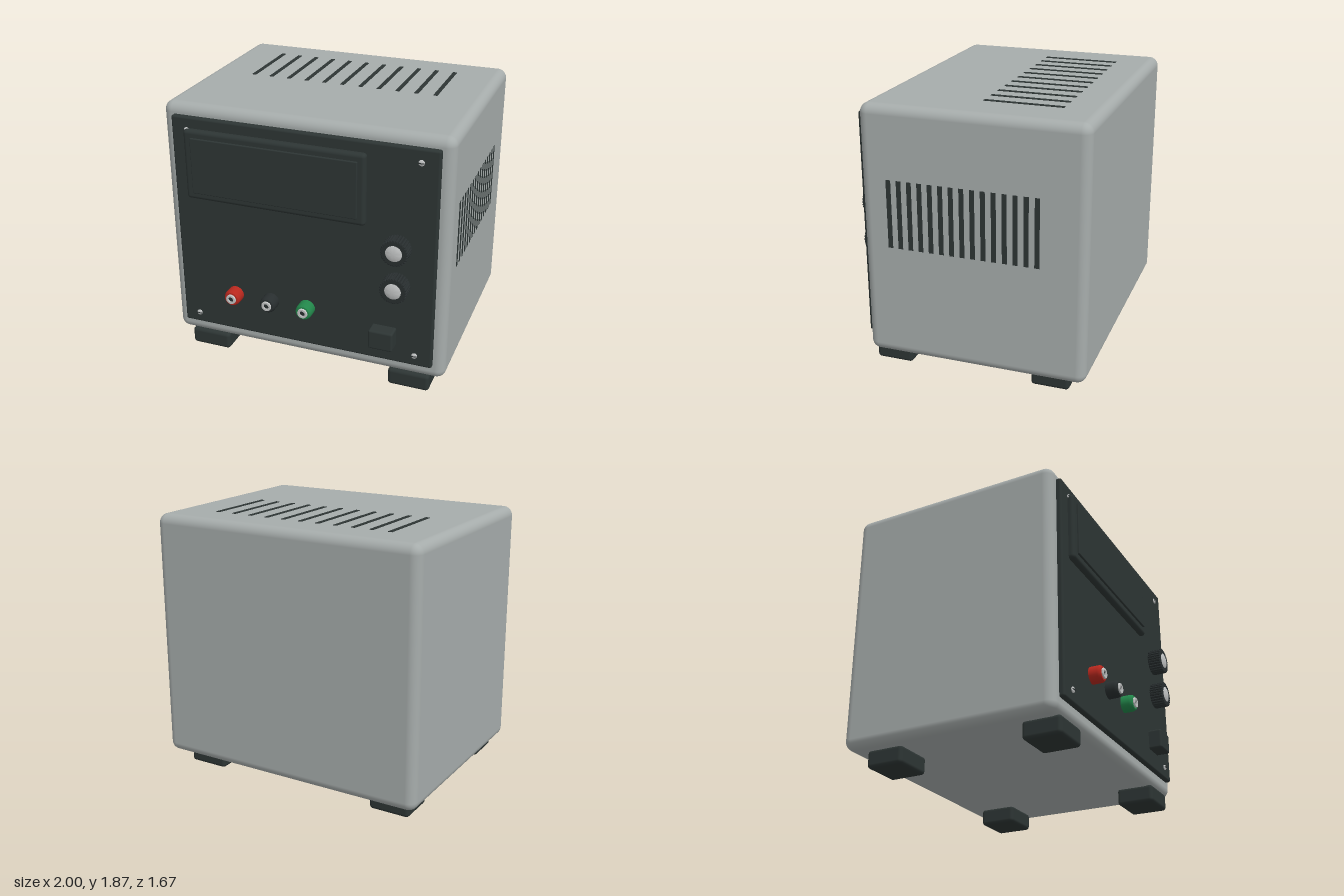
import * as THREE from 'three';
import { toCreasedNormals } from 'three/addons/utils/BufferGeometryUtils.js';
import { RoundedBoxGeometry } from 'three/addons/geometries/RoundedBoxGeometry.js';

const paint = (name, color) => {
  const m = new THREE.MeshStandardMaterial({ color });
  m.name = name;
  return m;
};

export function createModel() {
  const model = new THREE.Group();
  model.name = 'benchPowerSupply';
  const grey = paint('case grey', 0xa6acab);
  const dark = paint('panel charcoal', 0x2d3534);
  const black = paint('knob black', 0x282e2f);
  const metal = paint('metal', 0xc4c6c6);
  const red = paint('terminal red', 0xb8281e);
  const green = paint('terminal green', 0x22864a);

  const add = (name, geometry, material, x = 0, y = 0, z = 0, parent = model) => {
    const mesh = new THREE.Mesh(geometry, material);
    mesh.name = name;
    mesh.position.set(x, y, z);
    parent.add(mesh);
    return mesh;
  };
  // Rounded box given by its limits on each axis
  const block = (name, material, [x0, x1], [y0, y1], [z0, z1], r, seg = 4) =>
    add(name, new RoundedBoxGeometry(x1 - x0, y1 - y0, z1 - z0, seg, r), material,
      (x0 + x1) / 2, (y0 + y1) / 2, (z0 + z1) / 2);
  // Turned part whose axis points forward; profile is [radius, depth] pairs
  const turned = (profile, sides = 32) => toCreasedNormals(
    new THREE.LatheGeometry(profile.map(p => new THREE.Vector2(...p)), sides).rotateX(Math.PI / 2), 0.6);

  // Case, front panel and display
  block('case', grey, [-1, 1], [0.115, 1.865], [-0.83, 0.70], 0.065, 6);
  block('frontPanel', dark, [-0.92, 0.92], [0.22, 1.79], [0.67, 0.735], 0.015);
  block('displayBezel', dark, [-0.82, 0.45], [1.22, 1.715], [0.71, 0.775], 0.025);
  block('displayScreen', dark, [-0.765, 0.40], [1.27, 1.665], [0.75, 0.788], 0.006, 2);

  // Feet
  for (const x of [-0.75, 0.75]) for (const z of [-0.565, 0.565])
    block('foot', dark, [x - 0.147, x + 0.147], [0, 0.125], [z - 0.133, z + 0.133], 0.025);

  // Vent slots on the top and on the left side
  const topSlot = new THREE.BoxGeometry(0.028, 0.009, 0.535);
  for (let i = -5; i <= 5; i++) add('topVent', topSlot, dark, i * 0.1335, 1.8645, -0.302);
  const sideSlot = new THREE.BoxGeometry(0.009, 0.47, 0.033);
  for (let i = -7; i <= 7; i++) add('sideVent', sideSlot, dark, 0.997, 1.14, i * 0.0718);

  // Fluted knobs with domed metal caps
  const outline = [];
  const ribs = 28;
  for (let i = 0; i < ribs * 4; i++) {
    const r = i % 4 < 2 ? 0.088 : 0.081;
    const a = (i / (ribs * 4)) * Math.PI * 2;
    outline.push(new THREE.Vector2(r * Math.cos(a), r * Math.sin(a)));
  }
  const knobGeo = new THREE.ExtrudeGeometry(new THREE.Shape(outline), {
    depth: 0.084, bevelThickness: 0.006, bevelSize: 0.005, bevelSegments: 2,
  });
  const capGeo = turned([[0.056, 0], [0.056, 0.003], [0.044, 0.008], [0.024, 0.012], [0, 0.013]]);
  for (const y of [1.095, 0.82]) {
    const knob = new THREE.Group();
    knob.name = 'knob';
    knob.position.set(0.665, y, 0.735);
    add('knobGrip', knobGeo, black, 0, 0, 0.004, knob);
    add('knobCap', capGeo, metal, 0, 0, 0.092, knob);
    model.add(knob);
  }

  // Binding posts: coloured collar, metal ring and dark socket
  const collarGeo = turned([[0.058, 0], [0.058, 0.06], [0.055, 0.072], [0.047, 0.082], [0.03, 0.084]]);
  const ringGeo = turned([[0.036, 0.07], [0.036, 0.09], [0.033, 0.094], [0.019, 0.094], [0.019, 0.075]]);
  const socketGeo = turned([[0.02, 0.07], [0.02, 0.084], [0, 0.084]]);
  [[-0.505, red], [-0.237, black], [0.03, green]].forEach(([x, material]) => {
    const post = new THREE.Group();
    post.name = 'bindingPost';
    post.position.set(x, 0.515, 0.735);
    add('postCollar', collarGeo, material, 0, 0, 0, post);
    add('postRing', ringGeo, metal, 0, 0, 0, post);
    add('postSocket', socketGeo, black, 0, 0, 0, post);
    model.add(post);
  });

  // Power switch
  block('powerSwitch', dark, [0.5, 0.67], [0.35, 0.49], [0.72, 0.828], 0.014);

  // Slotted screws in the panel corners
  const screwGeo = turned([[0.02, 0], [0.02, 0.008], [0.013, 0.013], [0, 0.015]], 20);
  const slotGeo = new THREE.BoxGeometry(0.036, 0.006, 0.008);
  for (const x of [-0.805, 0.8]) for (const y of [0.3, 1.7]) {
    add('screwHead', screwGeo, metal, x, y, 0.733);
    add('screwSlot', slotGeo, black, x, y, 0.745);
  }
  return model;
}
